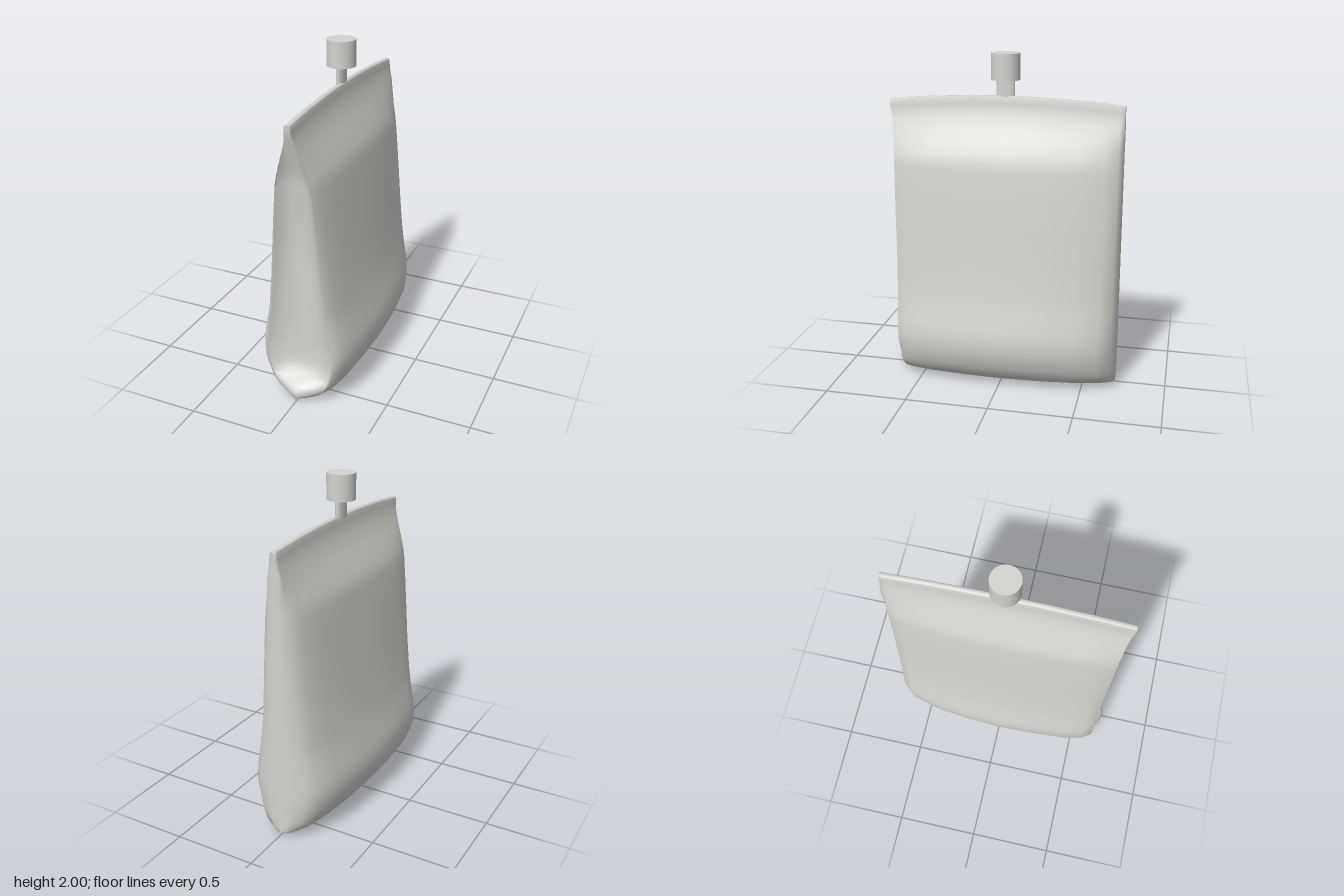
import * as THREE from 'three';

const lerp = THREE.MathUtils.lerp;

// Piecewise linear lookup in a list of [key, value] pairs
function lookup(table, k) {
  if (k <= table[0][0]) return table[0][1];
  for (let i = 1; i < table.length; i++) {
    const [k0, v0] = table[i - 1], [k1, v1] = table[i];
    if (k <= k1) return lerp(v0, v1, (k - k0) / (k1 - k0));
  }
  return table[table.length - 1][1];
}

// Half width of the pouch at each height
const WIDTH = [
  [0.005, 0.08], [0.012, 0.12], [0.03, 0.16], [0.05, 0.19], [0.075, 0.217], [0.1, 0.237],
  [0.125, 0.252], [0.15, 0.265], [0.2, 0.285], [0.25, 0.296], [0.3, 0.3], [0.35, 0.295],
  [0.4, 0.286], [0.5, 0.262], [0.6, 0.242], [0.8, 0.214], [1.0, 0.191], [1.2, 0.167],
  [1.33, 0.15], [1.38, 0.141], [1.43, 0.125], [1.5, 0.093], [1.56, 0.064], [1.62, 0.04],
  [1.67, 0.025], [1.71, 0.019], [1.745, 0.017], [1.755, 0.01],
];
// Depth of the front rim and of the middle of the sunken front panel
const RIM = [[0.15, 0.62], [0.25, 0.63], [0.8, 0.64], [1.4, 0.657], [1.6, 0.675], [1.68, 0.69], [1.72, 0.7]];
const PANEL = [
  [0.01, 0.685], [0.06, 0.692], [0.1, 0.665], [0.125, 0.62], [0.15, 0.585], [0.2, 0.567],
  [0.3, 0.56], [1.0, 0.565], [1.4, 0.61], [1.6, 0.665], [1.68, 0.69], [1.72, 0.7],
];
// Plan outline of the side, back to front: [z, share of half width]
const SIDE = [
  [-0.695, 0], [-0.695, 0.23], [-0.67, 0.5], [-0.6, 0.71], [-0.46, 0.86],
  [-0.24, 0.96], [0, 1], [0.2, 0.99], [0.45, 0.93], [0.57, 0.84],
];
const RIM_SHARE = 0.72;
const PANEL_STEPS = [1, 0.93, 0.84, 0.7, 0.5, 0.25, 0];

// Right half of one horizontal section, from back middle to front middle
function halfSection(y) {
  const w = lookup(WIDTH, y), rim = lookup(RIM, y), mid = lookup(PANEL, y);
  const seal = THREE.MathUtils.smoothstep(y, 1.42, 1.7);
  const pts = SIDE.map(([z, s], i) => [i ? w * lerp(s, 1, seal) : 0, z]);
  const edge = w * lerp(RIM_SHARE, 1, seal);
  const power = y < 0.11 ? 1.4 : 2.5;
  for (const u of PANEL_STEPS) pts.push([edge * u, lerp(mid, rim, u ** power)]);
  return pts;
}

function pouchGeometry() {
  const pos = [], index = [];
  let n = 0, half = 0;
  for (const [y] of WIDTH) {
    const right = halfSection(y);
    const left = right.slice(1, -1).reverse().map(([x, z]) => [-x, z]);
    half = right.length - 1;
    n = right.length + left.length;
    for (const [x, z] of [...right, ...left]) {
      // Bottom curls up and top edge droops towards both ends
      const e = (z / 0.7) ** 2;
      const lift = 0.018 * e * Math.max(0, 1 - y / 0.1);
      const droop = 0.038 * e * THREE.MathUtils.smoothstep(y, 1.3, 1.74);
      pos.push(x, y + lift - droop, z);
    }
  }
  for (let j = 0; j < WIDTH.length - 1; j++) {
    for (let i = 0; i < n; i++) {
      const a = j * n + i, b = j * n + (i + 1) % n;
      index.push(a, a + n, b, b, a + n, b + n);
    }
  }
  // Close the base and the top edge
  const top = (WIDTH.length - 1) * n;
  for (let i = 0; i < half; i++) {
    const r0 = i, r1 = i + 1, l0 = (n - i) % n, l1 = n - i - 1;
    if (i > 0) index.push(r0, l1, l0, top + l0, top + l1, top + r0);
    if (i < half - 1) index.push(r0, r1, l1, top + r0, top + l1, top + r1);
  }
  const geo = new THREE.BufferGeometry();
  geo.setAttribute('position', new THREE.Float32BufferAttribute(pos, 3));
  geo.setIndex(index);
  geo.computeVertexNormals();
  return geo;
}

export function createModel() {
  const model = new THREE.Group();
  model.name = 'spoutPouch';
  const material = new THREE.MeshStandardMaterial({ color: 0xd4d3cf });
  material.name = 'light grey';

  const add = (name, geometry, x, y) => {
    const mesh = new THREE.Mesh(geometry, material);
    mesh.name = name;
    mesh.position.set(x, y, 0);
    model.add(mesh);
    return mesh;
  };

  add('pouchBody', pouchGeometry(), 0, 0);

  // Flattened spout neck and round cap
  const neck = add('spoutNeck', new THREE.CylinderGeometry(0.055, 0.055, 0.12, 32), -0.01, 1.8);
  neck.scale.x = 0.44;
  add('cap', new THREE.CylinderGeometry(0.084, 0.084, 0.153, 48), -0.01, 1.9235);

  return model;
}
